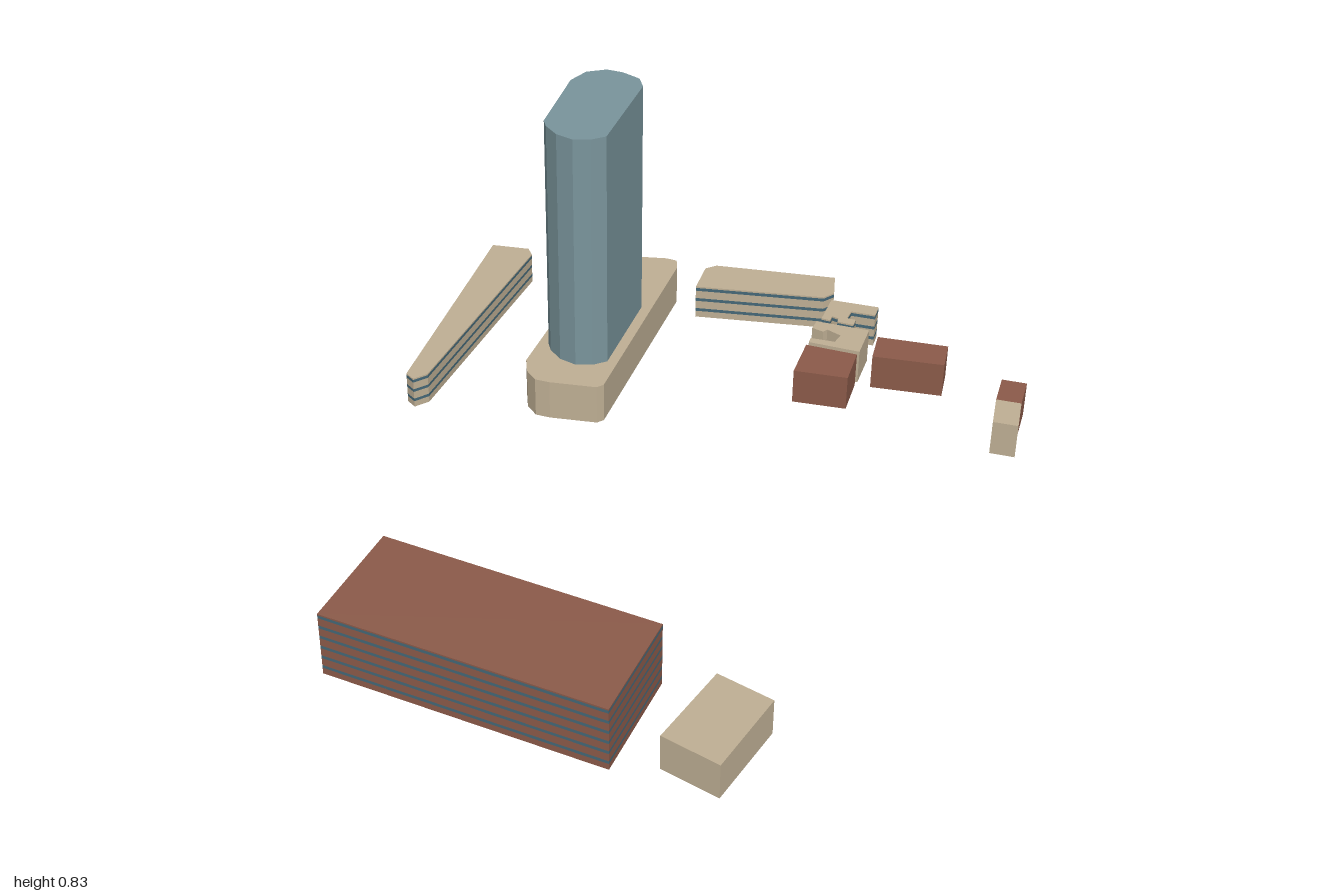
import * as THREE from 'three';

const material = (color) => new THREE.MeshStandardMaterial({ color, flatShading: true });

export function createModel() {
  const stone = material(0xc0b095);
  const brick = material(0x8c5b4a);
  const glass = material(0x7a959c);
  const windows = material(0x456878);
  const model = new THREE.Group();
  model.name = 'cityBlock';

  // Vertical prism over a ground plan of [x, z] corners
  function prism(name, plan, y0, y1, mat, parent = model) {
    const shape = new THREE.Shape(plan.map(([x, z]) => new THREE.Vector2(x, -z)));
    const geometry = new THREE.ExtrudeGeometry(shape, { depth: y1 - y0, bevelEnabled: false });
    geometry.rotateX(-Math.PI / 2).translate(0, y0, 0);
    const mesh = new THREE.Mesh(geometry, mat);
    mesh.name = name;
    parent.add(mesh);
  }

  // Building with one flush window band per floor
  function banded(name, plan, height, floors, wall) {
    const group = new THREE.Group();
    group.name = name;
    const floor = height / floors;
    let base = 0;
    for (let i = 0; i < floors; i++) {
      const sill = (i + 0.58) * floor;
      const head = (i + 0.86) * floor;
      prism('wallBand', plan, base, sill, wall, group);
      prism('windowBand', plan, sill, head, windows, group);
      base = head;
    }
    prism('roofSlab', plan, base, height, wall, group);
    model.add(group);
  }

  // Tower on its rounded podium
  prism('podium', [
    [-0.51, -0.66], [-0.5, -0.7], [-0.48, -0.735], [-0.44, -0.76], [-0.35, -0.805],
    [-0.32, -0.81], [-0.3, -0.78], [-0.17, -0.19], [-0.18, -0.17], [-0.3, -0.12],
    [-0.34, -0.11], [-0.38, -0.13], [-0.41, -0.17],
  ], 0, 0.12, stone);
  prism('tower', [
    [-0.46, -0.48], [-0.45, -0.54], [-0.41, -0.58], [-0.365, -0.59], [-0.31, -0.585],
    [-0.28, -0.555], [-0.22, -0.285], [-0.245, -0.25], [-0.285, -0.225], [-0.335, -0.225],
    [-0.38, -0.245], [-0.4, -0.265],
  ], 0.1, 0.83, glass);

  // Low banded buildings
  banded('wedgeBuilding', [
    [-0.84, -0.62], [-0.74, -0.66], [-0.715, -0.64], [-0.62, 0], [-0.64, 0.04], [-0.67, 0.03],
  ], 0.095, 3, stone);
  banded('rearBuilding', [
    [-0.24, -0.84], [-0.22, -0.87], [0.1, -1], [0.135, -0.93], [0.12, -0.895], [-0.215, -0.745],
  ], 0.105, 3, stone);
  banded('notchedBuilding', [
    [0.145, -0.895], [0.275, -0.935], [0.285, -0.895], [0.22, -0.875], [0.225, -0.84],
    [0.25, -0.845], [0.255, -0.82], [0.21, -0.81], [0.205, -0.825], [0.185, -0.825],
    [0.19, -0.805], [0.165, -0.8],
  ], 0.105, 3, stone);
  banded('longBrickBuilding', [
    [-0.235, 0.69], [0.5, 0.59], [0.545, 0.89], [-0.195, 0.995],
  ], 0.19, 6, brick);

  // Plain low blocks
  const blocks = [
    ['courtBlock', stone, [
      [0.16, -0.78], [0.305, -0.82], [0.33, -0.715], [0.19, -0.68], [0.185, -0.7],
      [0.25, -0.72], [0.25, -0.755], [0.205, -0.76], [0.2, -0.745], [0.165, -0.745],
    ]],
    ['brickBlockFront', brick, [[0.19, -0.665], [0.33, -0.7], [0.36, -0.59], [0.22, -0.54]]],
    ['brickBlockRear', brick, [[0.34, -0.805], [0.525, -0.87], [0.555, -0.785], [0.37, -0.715]]],
    ['smallBrickHalf', brick, [[0.715, -0.81], [0.78, -0.83], [0.805, -0.74], [0.74, -0.72]]],
    ['smallStoneHalf', stone, [[0.74, -0.72], [0.805, -0.74], [0.84, -0.645], [0.775, -0.625]]],
    ['frontStoneBlock', stone, [[0.645, 0.585], [0.8, 0.59], [0.8, 0.83], [0.64, 0.825]]],
  ];
  for (const [name, mat, plan] of blocks) prism(name, plan, 0, 0.105, mat);

  return model;
}
